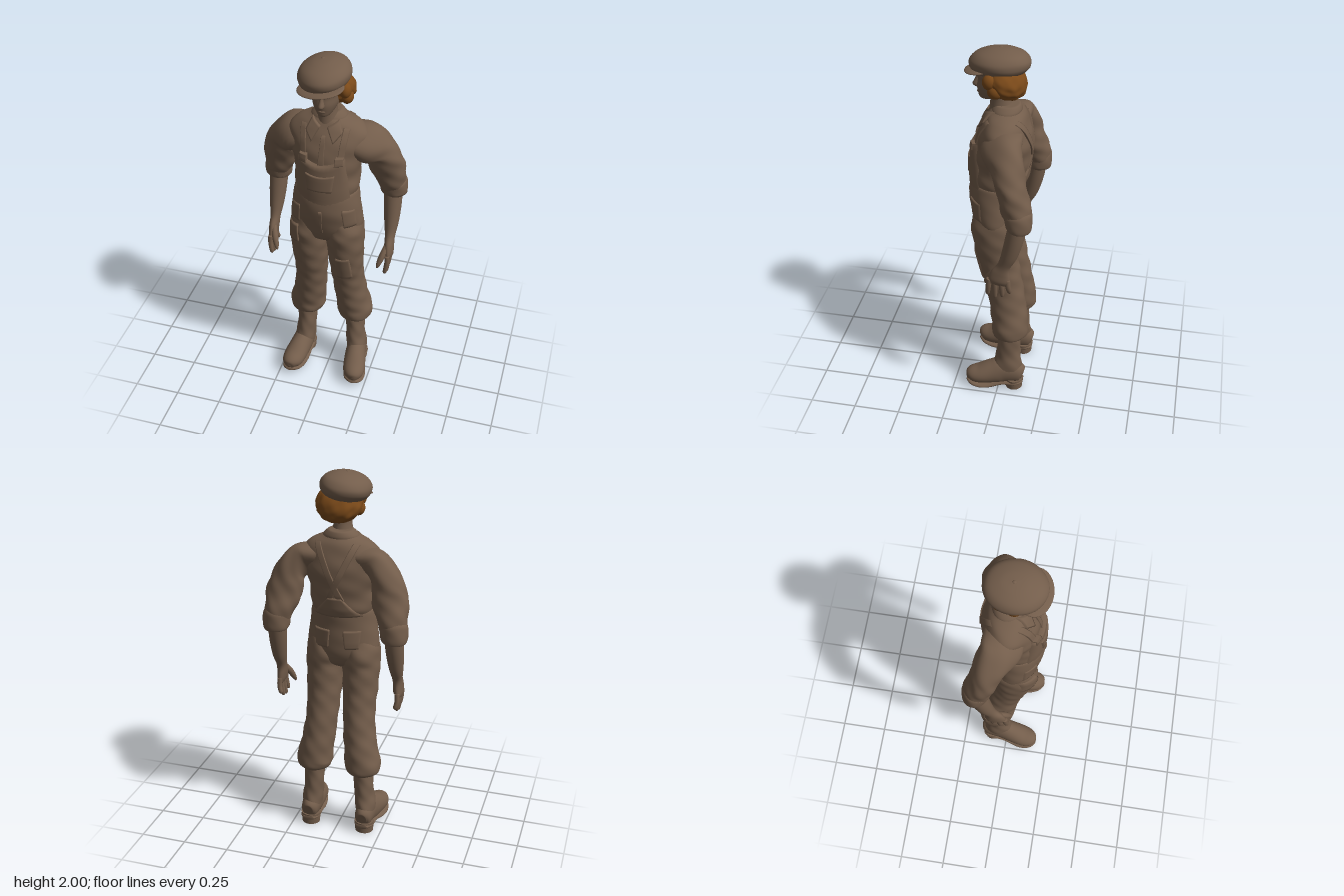
import * as THREE from 'three';

const brown = new THREE.MeshStandardMaterial({ color: 0x735d4b });
brown.name = 'brown';
const ginger = new THREE.MeshStandardMaterial({ color: 0x7a4919 });
ginger.name = 'ginger hair';

// Smooth interpolation through rows of numbers
function sample(rows, t) {
  const i = Math.min(Math.floor(t), rows.length - 2), f = t - i;
  const at = (k) => rows[Math.max(0, Math.min(rows.length - 1, k))];
  return rows[i].map((b, k) => {
    const a = at(i - 1)[k], c = at(i + 1)[k], d = at(i + 2)[k];
    return b + 0.5 * f * (c - a + f * (2 * a - 5 * b + 4 * c - d + f * (3 * (b - c) + d - a)));
  });
}

function indexed(pos, idx) {
  const g = new THREE.BufferGeometry();
  g.setAttribute('position', new THREE.Float32BufferAttribute(pos, 3));
  g.setIndex(idx);
  g.computeVertexNormals();
  return g;
}

function add(group, name, geo, mat = brown) {
  const m = new THREE.Mesh(geo, mat);
  m.name = name;
  group.add(m);
  return m;
}

// Closed skin over elliptical sections [x, y, z, radius across, radius deep]; level keeps them horizontal
function loft(rows, fold = 0, n = 32, level = false) {
  const steps = 6, pos = [], idx = [], count = (rows.length - 1) * steps + 1;
  const C = [...Array(count)].map((_, i) => sample(rows, i / steps));
  const P = C.map((c) => new THREE.Vector3(c[0], c[1], c[2]));
  P.forEach((p, i) => {
    const T = P[Math.min(i + 1, count - 1)].clone().sub(P[Math.max(i - 1, 0)]).normalize();
    if (level) T.set(0, -1, 0);
    const A = new THREE.Vector3(1, 0, 0).addScaledVector(T, -T.x).normalize();
    const B = T.clone().cross(A);
    for (let j = 0; j < n; j++) {
      const a = (j / n) * Math.PI * 2;
      const w = 1 + fold * (Math.sin(2 * a + p.y * 48) + 0.7 * Math.sin(5 * a - p.y * 63 + 1));
      const v = p.clone().addScaledVector(A, Math.cos(a) * C[i][3] * w).addScaledVector(B, Math.sin(a) * C[i][4] * w);
      pos.push(v.x, v.y, v.z);
      const k = (j + 1) % n, o = i * n;
      if (i < count - 1) idx.push(o + j, o + k, o + n + j, o + k, o + n + k, o + n + j);
    }
  });
  const s = count * n, last = (count - 1) * n;
  pos.push(...P[0].toArray(), ...P[count - 1].toArray());
  for (let j = 0; j < n; j++) {
    const k = (j + 1) % n;
    idx.push(s, k, j, s + 1, last + j, last + k);
  }
  return indexed(pos, idx);
}

// Depth of a lofted body at x, y on its front (+1) or back (-1)
function depth(rows, x, y, side) {
  let i = 0;
  while (i < rows.length - 2 && rows[i + 1][1] > y) i++;
  const f = THREE.MathUtils.clamp((rows[i][1] - y) / (rows[i][1] - rows[i + 1][1]), 0, 1);
  const r = rows[i].map((v, k) => v + (rows[i + 1][k] - v) * f);
  const u = Math.min(1, Math.abs((x - r[0]) / r[3]));
  return r[2] + side * r[4] * Math.sqrt(1 - u * u);
}

// Raised cloth panel following a body; corners run top left, top right, bottom right, bottom left
function panel(rows, side, corners, raise = 0.012, sag = 0, low = raise) {
  const n = 12, pos = [], idx = [];
  const [a, b, c, d] = corners;
  for (let i = 0; i <= n; i++) for (let j = 0; j <= n; j++) {
    const edge = i === 0 || j === 0 || i === n || j === n;
    const v = THREE.MathUtils.clamp((i - 1) / (n - 2), 0, 1), u = THREE.MathUtils.clamp((j - 1) / (n - 2), 0, 1);
    const mix = (k) => (a[k] * (1 - u) + b[k] * u) * (1 - v) + (d[k] * (1 - u) + c[k] * u) * v;
    const x = mix(0), y = mix(1) - sag * 4 * u * (1 - u) * (1 - v);
    pos.push(x, y, depth(rows, x, y, side) + side * (edge ? -0.012 : raise + (low - raise) * v));
    if (i < n && j < n) {
      const o = i * (n + 1) + j, q = [o, o + n + 1, o + 1, o + 1, o + n + 1, o + n + 2];
      const flip = (b[0] > a[0]) !== (side > 0);
      idx.push(...(flip ? q.reverse() : q));
    }
  }
  return indexed(pos, idx);
}

const box = (x0, x1, y0, y1) => [[x0, y1], [x1, y1], [x1, y0], [x0, y0]];

function ball(group, name, p, r, mat = brown) {
  const m = add(group, name, new THREE.SphereGeometry(1, 28, 18), mat);
  m.position.set(...p);
  m.scale.set(...r);
  return m;
}

const shirt = [
  [0, 1.71, -0.012, 0.058, 0.06], [0, 1.685, -0.01, 0.09, 0.076], [0, 1.65, -0.012, 0.162, 0.098],
  [0, 1.59, -0.006, 0.205, 0.124], [0, 1.5, 0, 0.192, 0.146], [0, 1.4, 0.012, 0.17, 0.148],
  [0, 1.31, 0.022, 0.168, 0.146], [0, 1.26, 0.032, 0.16, 0.136], [0, 1.2, 0.037, 0.165, 0.134],
];
const hips = [
  [0, 1.288, 0.03, 0.15, 0.125], [0, 1.28, 0.032, 0.167, 0.141], [0, 1.2, 0.038, 0.178, 0.143],
  [0, 1.12, 0.032, 0.19, 0.136], [0, 1.05, 0.027, 0.187, 0.125], [0, 0.99, 0.025, 0.14, 0.1], [0, 0.955, 0.02, 0.06, 0.05],
];
const legRows = (s) => [
  [s * 0.086, 1.16, 0.034, 0.07, 0.1], [s * 0.095, 1.05, 0.029, 0.1, 0.126], [s * 0.099, 0.95, 0.027, 0.1, 0.118],
  [s * 0.1, 0.8, 0.006, 0.092, 0.106], [s * 0.103, 0.68, -0.02, 0.086, 0.1], [s * 0.115, 0.55, -0.042, 0.088, 0.099],
  [s * 0.13, 0.45, -0.056, 0.094, 0.1], [s * 0.137, 0.4, -0.06, 0.099, 0.099], [s * 0.137, 0.365, -0.062, 0.09, 0.088],
  [s * 0.137, 0.35, -0.062, 0.05, 0.055],
];

function buildHead(g) {
  add(g, 'neck', loft([[0, 1.8, 0.02, 0.05, 0.055], [0, 1.73, 0.017, 0.048, 0.052], [0, 1.62, 0.01, 0.065, 0.075]]));
  add(g, 'head', loft([
    [0, 1.95, 0.03, 0.03, 0.04], [0, 1.92, 0.028, 0.068, 0.09], [0, 1.87, 0.03, 0.076, 0.108], [0, 1.84, 0.03, 0.073, 0.1],
    [0, 1.8, 0.036, 0.068, 0.099], [0, 1.765, 0.054, 0.053, 0.076], [0, 1.738, 0.076, 0.032, 0.046], [0, 1.728, 0.082, 0.01, 0.015],
  ], 0, 32, true));
  add(g, 'nose', loft([
    [0, 1.86, 0.122, 0.008, 0.012], [0, 1.83, 0.128, 0.011, 0.018], [0, 1.805, 0.134, 0.016, 0.024], [0, 1.793, 0.13, 0.013, 0.02], [0, 1.787, 0.125, 0.005, 0.008],
  ], 0, 16, true));
  ball(g, 'lips', [0, 1.768, 0.122], [0.02, 0.009, 0.013]);
  // Wavy hair, fuller at the front near the cap
  const hair = new THREE.SphereGeometry(1, 56, 40), p = hair.attributes.position, v = new THREE.Vector3();
  for (let i = 0; i < p.count; i++) {
    v.fromBufferAttribute(p, i);
    v.multiplyScalar(1 + 0.05 * Math.sin(9 * v.x + 4 * v.y) * Math.sin(7 * v.y + 3) * Math.sin(8 * v.z + 1));
    p.setXYZ(i, 0.012 + v.x * 0.12, 1.843 + v.y * 0.095, -0.012 + v.z * 0.1 + v.y * 0.025);
  }
  hair.computeVertexNormals();
  add(g, 'hair', hair, ginger);
  for (const s of [-1, 1]) {
    ball(g, 'templeLock', [0.008 + s * 0.09, 1.862, 0.054], [0.03, 0.04, 0.036], ginger);
    ball(g, 'sideLock', [0.01 + s * 0.09, 1.815, 0.026], [0.032, 0.038, 0.038], ginger);
  }
  // Flat cap, tipped to one side
  const cap = new THREE.Group();
  cap.name = 'cap';
  cap.position.set(-0.015, 1.93, 0.022);
  cap.rotation.set(0.03, 0, 0.13);
  add(cap, 'crown', loft([
    [0, 0.069, -0.005, 0.01, 0.012], [0, 0.062, -0.005, 0.055, 0.065], [0, 0.04, -0.003, 0.104, 0.122], [0, 0.008, 0, 0.129, 0.15],
    [0, -0.022, 0.002, 0.13, 0.15], [0, -0.044, 0.004, 0.118, 0.136], [0, -0.06, 0.005, 0.1, 0.116],
  ], 0.006, 40, true));
  ball(cap, 'peak', [0, -0.042, 0.092], [0.118, 0.013, 0.086]).rotation.x = 0.1;
  ball(cap, 'capButton', [0, 0.068, -0.005], [0.009, 0.004, 0.009]);
  g.add(cap);
}

function buildClothes(g) {
  add(g, 'shirt', loft(shirt, 0.012, 48, true));
  add(g, 'trouserSeat', loft(hips, 0.004, 48, true));
  add(g, 'collarStand', loft([[0, 1.714, -0.014, 0.056, 0.058], [0, 1.71, -0.016, 0.068, 0.068], [0, 1.688, -0.014, 0.09, 0.078], [0, 1.67, -0.012, 0.095, 0.078]], 0, 32, true));
  add(g, 'shirtPlacket', panel(shirt, 1, [[-0.008, 1.62], [0.012, 1.62], [0.016, 1.46], [-0.016, 1.46]], 0.007));
  add(g, 'bib', panel(shirt, 1, [[-0.115, 1.515], [0.115, 1.515], [0.15, 1.19], [-0.15, 1.19]], 0.022, 0.04, 0.006));
  add(g, 'bibPocket', panel(shirt, 1, [[-0.075, 1.43], [0.075, 1.43], [0.062, 1.335], [-0.062, 1.335]], 0.026, 0.01, 0.02));
  add(g, 'fly', panel(hips, 1, [[-0.006, 1.21], [0.012, 1.21], [0.01, 1.06], [0, 1.06]], 0.005));
  add(g, 'backPanel', panel(shirt, -1, [[-0.035, 1.38], [0.035, 1.38], [0.13, 1.27], [-0.13, 1.27]], 0.01));
  for (const s of [-1, 1]) {
    add(g, 'collarFlap', panel(shirt, 1, [[s * 0.018, 1.66], [s * 0.07, 1.69], [s * 0.092, 1.635], [s * 0.055, 1.59]], 0.014));
    add(g, 'frontStrap', panel(shirt, 1, [[s * 0.095, 1.655], [s * 0.125, 1.65], [s * 0.108, 1.48], [s * 0.078, 1.48]], 0.009));
    add(g, 'backStrap', panel(shirt, -1, [[s * 0.085, 1.66], [s * 0.118, 1.655], [-s * 0.015, 1.37], [-s * 0.05, 1.37]], 0.009));
    add(g, 'strapBuckle', panel(shirt, 1, box(s * 0.072, s * 0.112, 1.485, 1.525), 0.027));
    add(g, 'hipPocket', panel(hips, 1, [[s * 0.11, 1.215], [s * 0.165, 1.2], [s * 0.175, 1.1], [s * 0.12, 1.1]], 0.007));
    add(g, 'backPocket', panel(hips, -1, [[s * 0.035, 1.19], [s * 0.125, 1.19], [s * 0.115, 1.09], [s * 0.045, 1.09]], 0.008));
    add(g, 'trouserLeg', loft(legRows(s), 0.02));
  }
  add(g, 'thighPocket', panel(legRows(-1), 1, [[-0.185, 1.07], [-0.125, 1.08], [-0.12, 0.975], [-0.193, 0.965]], 0.014));
  add(g, 'kneePatch', panel(legRows(1), 1, [[0.07, 0.88], [0.145, 0.885], [0.155, 0.73], [0.07, 0.73]], 0.01));
}

function buildArm(g, s) {
  const limb = (name, rows, fold, n) => add(g, name, loft(rows.map(([x, ...r]) => [s * x, ...r]), fold, n));
  limb('sleeve', [
    [0.09, 1.565, -0.012, 0.065, 0.1], [0.185, 1.545, -0.022, 0.076, 0.108], [0.25, 1.49, -0.062, 0.076, 0.088],
    [0.277, 1.4, -0.086, 0.095, 0.074], [0.3, 1.3, -0.115, 0.08, 0.076], [0.314, 1.23, -0.132, 0.066, 0.064], [0.315, 1.2, -0.133, 0.05, 0.05],
  ], 0.03);
  limb('rolledCuff', [
    [0.31, 1.275, -0.125, 0.06, 0.06], [0.312, 1.262, -0.128, 0.072, 0.071], [0.316, 1.205, -0.135, 0.07, 0.067],
    [0.316, 1.185, -0.134, 0.062, 0.058], [0.316, 1.18, -0.134, 0.045, 0.042],
  ], 0.014);
  limb('forearm', [
    [0.312, 1.24, -0.135, 0.05, 0.045], [0.316, 1.12, -0.113, 0.047, 0.047], [0.319, 1.02, -0.088, 0.038, 0.042], [0.32, 0.95, -0.06, 0.027, 0.034],
    [0.322, 0.9, -0.042, 0.025, 0.05], [0.325, 0.86, -0.035, 0.022, 0.056], [0.325, 0.835, -0.032, 0.014, 0.048],
  ]);
  // Fingers, then thumb
  [0.775, 0.75, 0.74, 0.755].forEach((tip, i) => {
    const z = -0.078 + i * 0.031, spread = (i - 1.5) * 0.007;
    limb('finger', [
      [0.325, 0.865, z, 0.014, 0.016], [0.326, 0.82, z + spread * 0.5, 0.013, 0.014], [0.318, tip + 0.012, z + spread, 0.011, 0.011], [0.315, tip, z + spread, 0.003, 0.003],
    ], 0, 12);
  });
  limb('thumb', [[0.318, 0.92, -0.03, 0.014, 0.018], [0.301, 0.87, 0.014, 0.017, 0.018], [0.286, 0.825, 0.038, 0.013, 0.013], [0.279, 0.8, 0.047, 0.004, 0.004]], 0, 12);
}

function buildBoot(g, s) {
  const part = (name, rows, fold) => add(g, name, loft(rows.map(([x, ...r]) => [s * x, ...r]), fold));
  part('bootShaft', [
    [0.137, 0.42, -0.06, 0.05, 0.057], [0.14, 0.33, -0.058, 0.052, 0.062], [0.145, 0.22, -0.052, 0.053, 0.068],
    [0.153, 0.15, -0.05, 0.054, 0.083], [0.155, 0.09, -0.048, 0.052, 0.085], [0.155, 0.05, -0.05, 0.04, 0.07],
  ], 0.025);
  part('bootFoot', [
    [0.155, 0.09, -0.137, 0.025, 0.035], [0.155, 0.095, -0.115, 0.045, 0.062], [0.158, 0.103, -0.03, 0.055, 0.084], [0.166, 0.092, 0.03, 0.06, 0.074],
    [0.178, 0.076, 0.1, 0.062, 0.056], [0.185, 0.069, 0.148, 0.051, 0.045], [0.187, 0.06, 0.172, 0.027, 0.027], [0.187, 0.058, 0.179, 0.006, 0.006],
  ]);
  part('sole', [
    [0.155, 0.042, -0.136, 0.03, 0.012], [0.156, 0.042, -0.1, 0.053, 0.017], [0.16, 0.036, -0.02, 0.053, 0.018], [0.168, 0.021, 0.04, 0.058, 0.02],
    [0.18, 0.02, 0.1, 0.061, 0.019], [0.186, 0.03, 0.15, 0.049, 0.017], [0.187, 0.04, 0.178, 0.02, 0.01],
  ]);
  const heel = add(g, 'heel', new THREE.CylinderGeometry(0.054, 0.05, 0.06, 28));
  heel.position.set(s * 0.156, 0.03, -0.086);
  heel.scale.z = 0.94;
}

export function createModel() {
  const model = new THREE.Group();
  model.name = 'worker';
  buildHead(model);
  buildClothes(model);
  for (const s of [-1, 1]) {
    buildArm(model, s);
    buildBoot(model, s);
  }
  return model;
}
